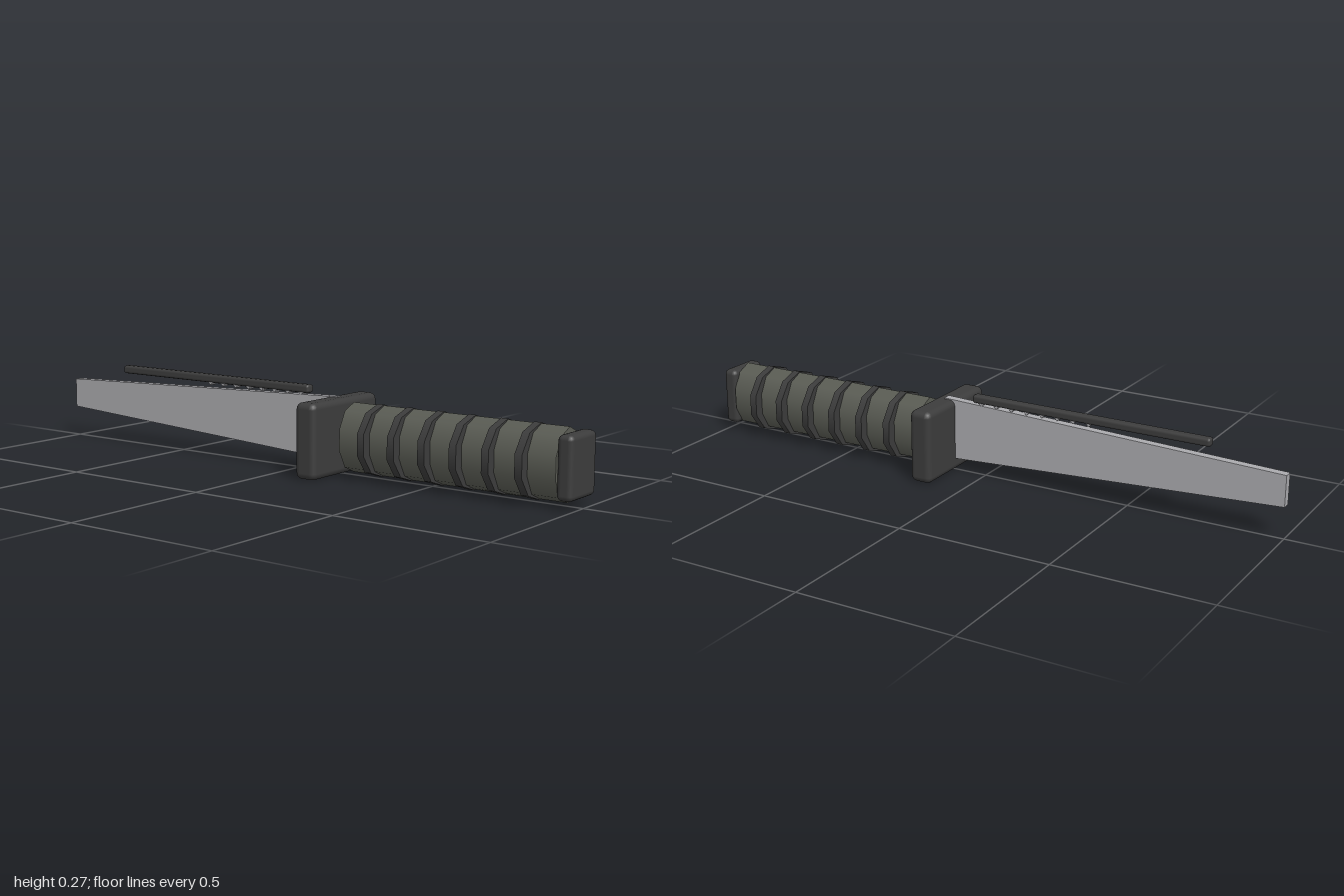
import * as THREE from 'three';
import { RoundedBoxGeometry } from 'three/addons/geometries/RoundedBoxGeometry.js';

export function createModel() {
  const model = new THREE.Group();
  model.name = 'knife';
  const mat = (name, color) => {
    const m = new THREE.MeshStandardMaterial({ color });
    m.name = name;
    return m;
  };
  const dark = mat('dark fittings', 0x3c3c3c);
  const gripMat = mat('grip green grey', 0x5a5c54);
  const steel = mat('blade steel', 0xaaaaae);
  const axisY = 0.119;

  const add = (name, geometry, material, x, y, z) => {
    const mesh = new THREE.Mesh(geometry, material);
    mesh.name = name;
    mesh.position.set(x, y, z);
    model.add(mesh);
    return mesh;
  };
  // ten-sided cylinder along z with a vertex at the top
  const disc = (radius, length, squash) =>
    new THREE.CylinderGeometry(radius, radius, length, 10)
      .rotateX(Math.PI / 2).rotateZ(Math.PI).scale(squash, 1, 1);

  // grip, narrower from side to side, and its raised rings
  const grip = disc(0.109, 0.743, 0.73);
  add('grip', grip, gripMat, 0, axisY, 0.58);
  for (let i = 0; i < 6; i++) {
    add('gripRing', disc(0.112, 0.024, 1), dark, 0, axisY, 0.31 + i * 0.108);
  }

  // pommel and guard
  add('pommel', new RoundedBoxGeometry(0.148, 0.188, 0.05, 2, 0.016), dark, 0, 0.121, 0.975);
  add('guard', new RoundedBoxGeometry(0.336, 0.237, 0.075, 2, 0.02), dark, 0, axisY, 0.143);

  // tapering blade: side outline drawn as (-z, y), extruded across x
  const outline = new THREE.Shape([
    new THREE.Vector2(-0.145, 0.04),
    new THREE.Vector2(1, 0.104),
    new THREE.Vector2(1, 0.202),
    new THREE.Vector2(-0.145, 0.241),
  ]);
  const blade = new THREE.ExtrudeGeometry(outline, { depth: 0.028, bevelEnabled: false })
    .translate(0, 0, -0.014).rotateY(Math.PI / 2);
  add('blade', blade, steel, 0, 0, 0);

  // rail above the blade with small teeth below it
  add('spineRail', new RoundedBoxGeometry(0.032, 0.027, 0.806, 1, 0.009), dark, 0, 0.2545, -0.361);
  for (let i = 0; i < 8; i++) {
    const tooth = add('spineTooth', new THREE.BoxGeometry(0.024, 0.02, 0.02), steel, 0, 0.247, 0.01 - i * 0.054);
    tooth.rotation.x = Math.PI / 4;
  }
  return model;
}
